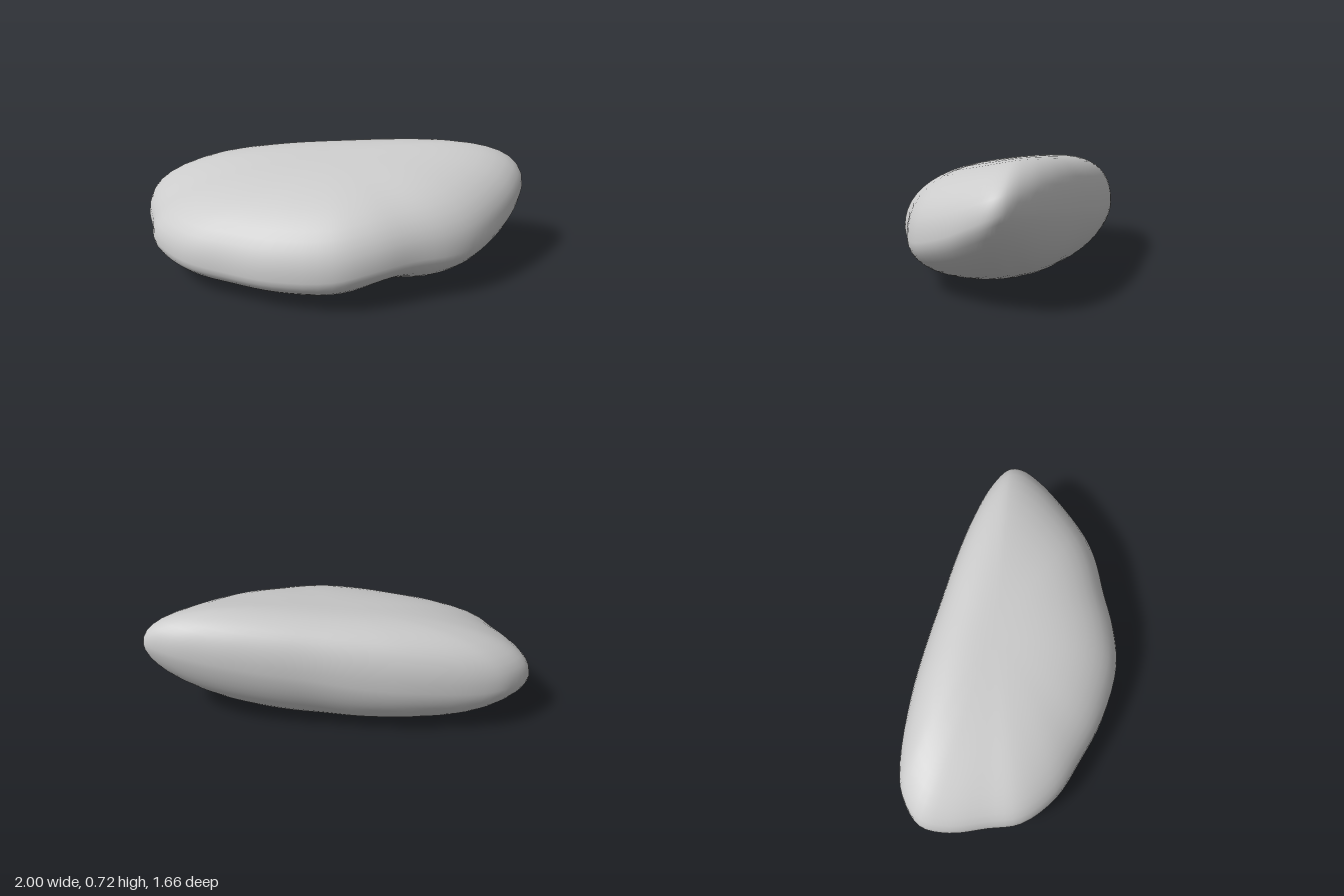
import * as THREE from 'three';

// Widest contour of the stone: x, z and the height y of the rim
const RIM = [
  [-1, -0.26, 0.24], [-0.95, -0.45, 0.25], [-0.89, -0.66, 0.26], [-0.79, -0.8, 0.28],
  [-0.6, -0.83, 0.29], [-0.43, -0.78, 0.29], [-0.11, -0.59, 0.32], [0.14, -0.4, 0.35],
  [0.37, -0.2, 0.4], [0.6, 0, 0.44], [0.8, 0.2, 0.48], [0.94, 0.38, 0.51],
  [1, 0.52, 0.52], [0.98, 0.6, 0.49], [0.89, 0.675, 0.44], [0.73, 0.75, 0.37],
  [0.47, 0.82, 0.3], [0.3, 0.82, 0.28], [0.07, 0.77, 0.28], [-0.15, 0.73, 0.26],
  [-0.37, 0.65, 0.22], [-0.62, 0.44, 0.2], [-0.79, 0.22, 0.2], [-0.94, -0.01, 0.21],
];
const AROUND = 96;
const STEPS = 14;

// Upper surface: a dome that rises to a gently tilted top
function topHeight(x, z, rim, r) {
  const crown = 0.67 + 0.1 * x - 0.04 * (z - x);
  return rim + (crown - rim) * Math.pow(Math.max(0, 1 - r ** 3), 0.45);
}

// Underside: flat below the low rim, sloping up to the raised tip, with a dent in front
function bottomHeight(x, z, rim, r) {
  const k = (0.52 - rim) / 0.3;
  const bowl = Math.pow(Math.max(0, 1 - r ** (2 + 0.8 * k)), 0.6 - 0.12 * k);
  const dent = 0.05 * Math.exp(-((x + 0.02) ** 2 + (z - 0.66) ** 2) / 0.02);
  return rim * (1 - bowl) + dent * bowl;
}

function stoneGeometry() {
  const curve = new THREE.CatmullRomCurve3(
    RIM.map(([x, z, y]) => new THREE.Vector3(x, y, z)), true, 'centripetal');
  const rim = Array.from({ length: AROUND }, (_, i) => curve.getPoint(i / AROUND));
  const positions = [0, 0.67, 0];
  const index = [];
  const rings = 2 * STEPS - 1;

  // Rings run from the crown, over the rim, to the base
  for (let j = 1; j <= rings; j++) {
    const r = j === STEPS ? 1 : Math.sin((j / STEPS) * Math.PI / 2);
    const height = j <= STEPS ? topHeight : bottomHeight;
    for (const p of rim) {
      const x = p.x * r, z = p.z * r;
      positions.push(x, height(x, z, p.y, r), z);
    }
  }
  positions.push(0, 0, 0);
  const last = 1 + rings * AROUND;

  for (let i = 0; i < AROUND; i++) {
    const n = (i + 1) % AROUND;
    index.push(0, 1 + n, 1 + i);
    for (let j = 0; j < rings - 1; j++) {
      const a = 1 + j * AROUND;
      const c = a + AROUND;
      index.push(a + i, a + n, c + n, a + i, c + n, c + i);
    }
    const a = last - AROUND;
    index.push(a + i, a + n, last);
  }

  const geometry = new THREE.BufferGeometry();
  geometry.setAttribute('position', new THREE.Float32BufferAttribute(positions, 3));
  geometry.setIndex(index);
  geometry.computeVertexNormals();
  return geometry;
}

export function createModel() {
  const group = new THREE.Group();
  group.name = 'rock';
  const stone = new THREE.Mesh(
    stoneGeometry(), new THREE.MeshStandardMaterial({ color: 0xcccccc }));
  stone.name = 'stone';
  group.add(stone);
  return group;
}
